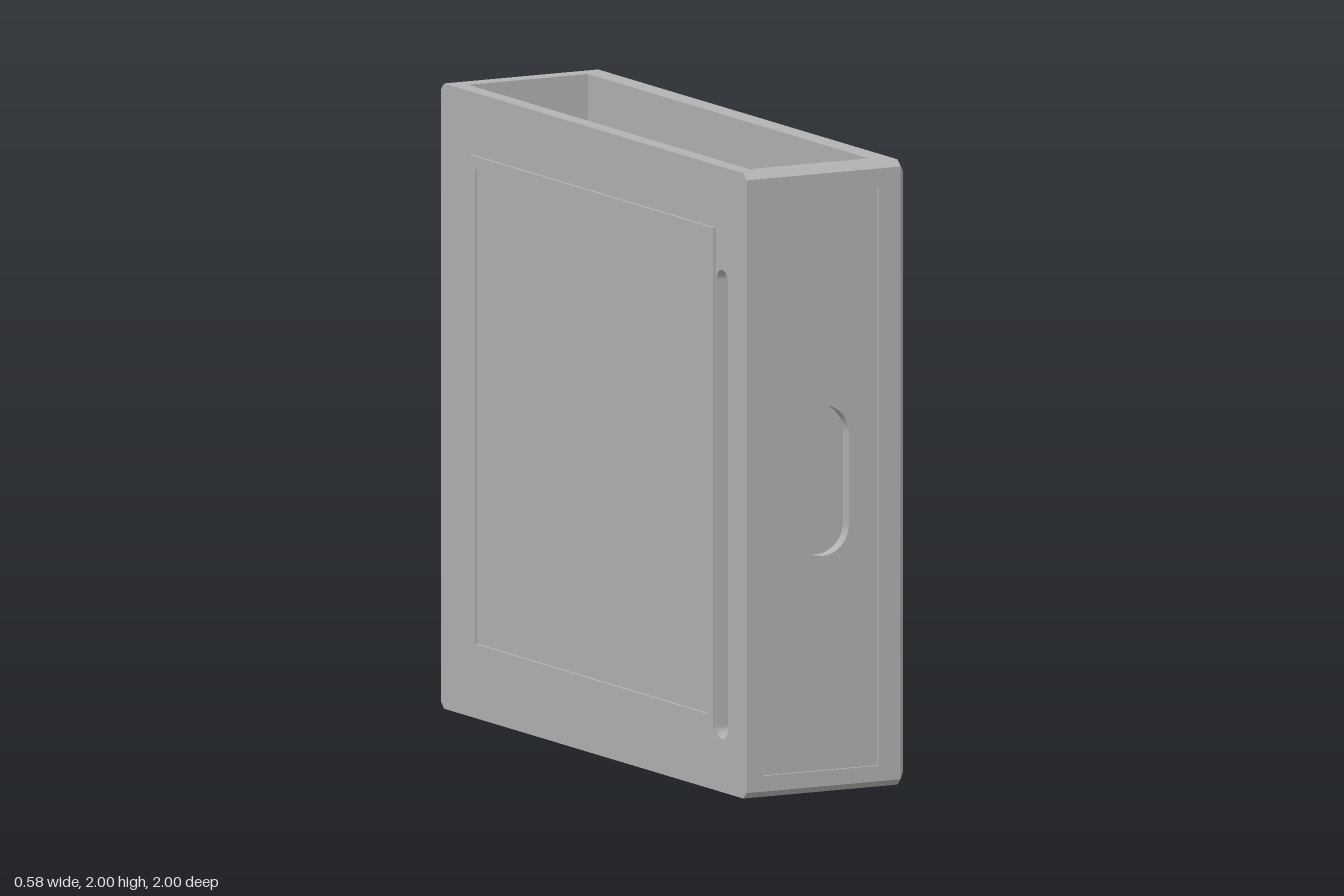
import * as THREE from 'three';

const grey = new THREE.MeshStandardMaterial({ color: 0xb3b3b3 });
grey.name = 'plain grey';

const polygon = (points) => new THREE.Shape(points.map(([a, b]) => new THREE.Vector2(a, b)));
const rect = (a0, a1, b0, b1) => polygon([[a0, b0], [a1, b0], [a1, b1], [a0, b1]]);

// Rounded slot, upright, with its ends drawn as half circles
function obround(a0, a1, b0, b1) {
  const r = (a1 - a0) / 2, c = (a0 + a1) / 2;
  const s = new THREE.Shape();
  s.absarc(c, b1 - r, r, 0, Math.PI, false);
  s.absarc(c, b0 + r, r, Math.PI, Math.PI * 2, false);
  s.closePath();
  return s;
}

function circle(r) {
  return new THREE.Shape().absarc(0, 1, r, 0, Math.PI * 2, false);
}

// Curved slot around the disc centre, from straight up to 30 degrees aside
function arcSlot(radius, half) {
  const a0 = Math.PI / 3, a1 = Math.PI / 2;
  const s = new THREE.Shape();
  s.absarc(0, 1, radius + half, a0, a1, false);
  s.absarc(0, 1 + radius, half, a1, a1 + Math.PI, false);
  s.absarc(0, 1, radius - half, a1, a0, true);
  s.absarc(radius * Math.cos(a0), 1 + radius * Math.sin(a0), half, a0 + Math.PI, a0 + Math.PI * 2, false);
  s.closePath();
  return s;
}

// Square side outline with small corner chamfers, in (-z, y)
const outline = () => polygon([
  [-0.98, 0], [0.98, 0], [1, 0.02], [1, 1.98], [0.98, 2], [-0.98, 2], [-1, 1.98], [-1, 0.02],
]);

// Closes half a U section by mirroring it
const mirrored = (half) => polygon([...half, ...half.map(([u, y]) => [-u, y]).reverse()]);

function createModel() {
  const model = new THREE.Group();

  const add = (name, geometry) => {
    const mesh = new THREE.Mesh(geometry, grey);
    mesh.name = name;
    model.add(mesh);
    return mesh;
  };
  const extrude = (shape, holes, depth, steps = 1) => {
    shape.holes.push(...holes);
    return new THREE.ExtrudeGeometry(shape, { depth, steps, bevelEnabled: false, curveSegments: 48 });
  };
  // Extrudes a (-z, y) shape along x
  const alongX = (shape, holes, x0, x1, steps) =>
    extrude(shape, holes, x1 - x0, steps).rotateY(Math.PI / 2).translate(x0, 0, 0);

  // Right wall: pierced disc floor and a rim with the round recess
  add('discFloor', alongX(outline(), [circle(0.035), arcSlot(0.775, 0.037)], 0.2, 0.25));
  const rim = alongX(outline(), [circle(0.9)], 0.25, 0.29, 2);
  const p = rim.attributes.position;
  for (let i = 0; i < p.count; i++) {
    const y = p.getY(i) - 1, z = p.getZ(i);
    // chamfer the outer border
    if (p.getX(i) > 0.285 && Math.max(Math.abs(y), Math.abs(z)) > 0.95) {
      p.setY(i, 1 + y * 0.98);
      p.setZ(i, z * 0.98);
    }
  }
  rim.computeVertexNormals();
  add('discRim', rim);

  // Left wall with a long slot, and a thin raised square frame
  add('leftWall', alongX(outline(), [obround(-0.88, -0.805, 0.17, 1.67)], -0.285, -0.23));
  add('leftFrame', alongX(rect(-0.8, 0.8, 0.2, 1.8), [rect(-0.76, 0.76, 0.24, 1.76)], -0.295, -0.285));

  // Open-topped U body: plain end bands and a notched middle for the panels
  const plain = [[0.98, 0], [1, 0.02], [1, 1.98], [0.98, 2], [0.92, 2], [0.92, 0.08]];
  const notched = [
    [0.93, 0.05], [0.93, 0], [0.98, 0], [1, 0.02], [1, 0.07], [0.95, 0.07],
    [0.95, 1.92], [1, 1.92], [1, 1.98], [0.98, 2], [0.92, 2], [0.92, 0.08],
  ];
  add('leftBand', alongX(mirrored(plain), [], -0.23, -0.225));
  add('body', alongX(mirrored(notched), [], -0.225, 0.19));
  add('rightBand', alongX(mirrored(plain), [], 0.19, 0.2));

  // Slightly sunken panels with a finger slot
  const panel = (half) =>
    extrude(rect(-0.225, 0.19, -half, half), [obround(-0.1, 0.09, -0.24, 0.24)], 0.04);
  add('frontPanel', panel(0.925)).position.set(0, 0.995, 0.95);
  add('backPanel', panel(0.925)).position.set(0, 0.995, -0.99);
  add('bottomPanel', panel(0.93).rotateX(Math.PI / 2)).position.set(0, 0.05, 0);

  return model;
}

export { createModel };
